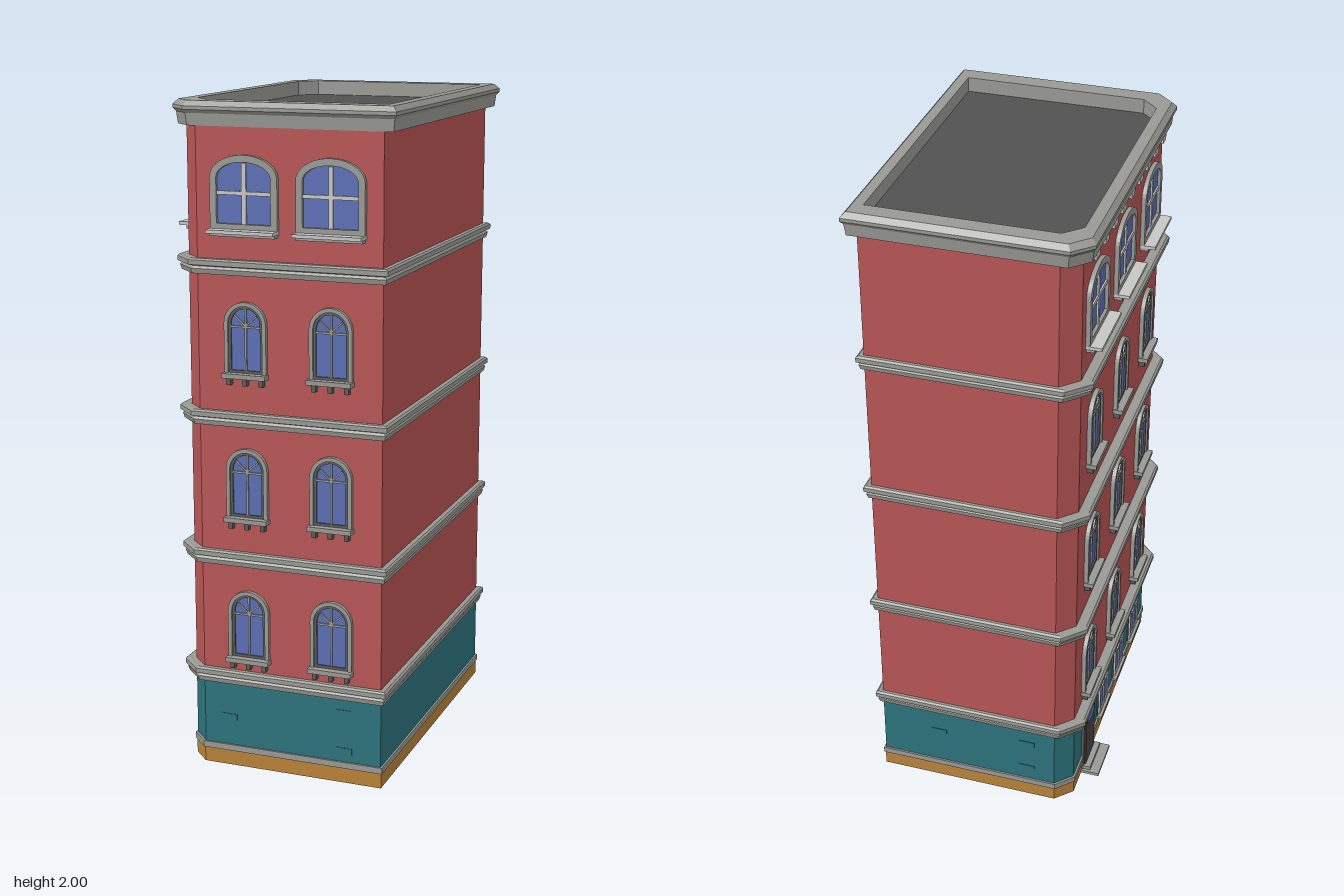
import * as THREE from 'three';

const mat = (name, color, side = THREE.FrontSide) => {
  const m = new THREE.MeshStandardMaterial({ color, side });
  m.name = name;
  return m;
};

export function createModel() {
  const M = {
    brick: mat('red brick', 0xb85555),
    teal: mat('teal wall', 0x2c737d),
    gold: mat('ochre base', 0xb88339),
    stone: mat('grey stone', 0x999a94),
    light: mat('pale stone', 0xc6c7c5),
    dark: mat('dark trim', 0x5c5d5a),
    roof: mat('roof grey', 0x515151),
    glass: mat('blue glass', 0x5a6eb4),
    door: mat('door brown', 0x4a4341),
  };
  const root = new THREE.Group();
  root.name = 'building';

  const add = (parent, geo, material, name, x = 0, y = 0, z = 0) => {
    const m = new THREE.Mesh(geo, material);
    m.name = name;
    m.position.set(x, y, z);
    parent.add(m);
    return m;
  };
  const box = (parent, w, h, d, material, name, x, y, z) =>
    add(parent, new THREE.BoxGeometry(w, h, d), material, name, x, y, z);

  // Plan outline with the two corners on the -x side cut off
  const WALL = [-0.3, 0.315, -0.505, 0.475, 0.05];
  const grow = ([a, b, c, d, k], o) => [a - o, b + o, c - o, d + o, k + o * 0.3];
  const outline = ([x0, x1, z0, z1, c]) =>
    [[x1, z1], [x1, z0], [x0 + c, z0], [x0, z0 + c], [x0, z1 - c], [x0 + c, z1]];

  // Skin between successive outlines [y, plan]; optional caps
  const loft = (rings, top = false, bottom = false) => {
    const R = rings.map(([y, plan]) => outline(plan).map(([x, z]) => [x, y, z]));
    const pos = [];
    const tri = (...p) => p.forEach((v) => pos.push(...v));
    for (let r = 0; r < R.length - 1; r++) {
      for (let i = 0; i < 6; i++) {
        const j = (i + 1) % 6;
        tri(R[r][i], R[r][j], R[r + 1][j]);
        tri(R[r][i], R[r + 1][j], R[r + 1][i]);
      }
    }
    const T = R[R.length - 1], B = R[0];
    for (let i = 1; i < 5; i++) {
      if (top) tri(T[0], T[i], T[i + 1]);
      if (bottom) tri(B[0], B[i + 1], B[i]);
    }
    const g = new THREE.BufferGeometry();
    g.setAttribute('position', new THREE.Float32BufferAttribute(pos, 3));
    g.computeVertexNormals();
    return g;
  };
  // Hollow wall ring
  const ringWall = (y0, y1, outer, inner) =>
    loft([[y0, outer], [y1, outer], [y1, inner], [y0, inner], [y0, outer]]);

  // Main shell, open underneath at the ground floor
  const inside = grow(WALL, -0.015);
  add(root, ringWall(0, 0.047, grow(WALL, 0.002), inside), M.gold, 'base');
  add(root, ringWall(0.047, 0.066, grow(WALL, 0.006), inside), M.stone, 'baseTrim');
  add(root, ringWall(0.066, 0.28, WALL, inside), M.teal, 'groundFloorWall');
  add(root, loft([[0.27, inside], [0.28, inside]], true, true), M.roof, 'groundFloorCeiling');
  add(root, loft([[0.285, WALL], [1.945, WALL]]), M.brick, 'upperWalls');

  // Floor bands
  const BAND = [-0.335, 0.335, -0.52, 0.495, 0.065];
  for (const y of [0.265, 0.64, 1.065, 1.51]) {
    add(root, loft([
      [y, WALL], [y, grow(BAND, -0.01)], [y + 0.015, grow(BAND, -0.006)],
      [y + 0.022, grow(BAND, -0.012)], [y + 0.026, BAND],
      [y + 0.04, BAND], [y + 0.045, grow(BAND, -0.006)], [y + 0.045, WALL],
    ]), M.stone, 'floorBand');
  }

  // Cornice, parapet and roof
  const CORNICE = [-0.338, 0.355, -0.525, 0.49, 0.055];
  const ROOF = [-0.29, 0.31, -0.46, 0.42, 0.05];
  add(root, loft([
    [1.93, WALL], [1.93, grow(CORNICE, -0.012)], [1.965, grow(CORNICE, -0.008)], [1.975, CORNICE],
    [1.985, CORNICE], [2, grow(CORNICE, -0.014)], [2, ROOF], [1.955, ROOF],
  ]), M.stone, 'cornice');
  add(root, loft([[1.95, ROOF], [1.956, ROOF]], true), M.roof, 'roof');

  // Arched opening: half width w, straight height h, arch rise r, grown by o
  const arch = (w, h, r, o, Type = THREE.Shape) => {
    const s = new Type();
    s.moveTo(-w - o, -o);
    s.lineTo(w + o, -o);
    s.lineTo(w + o, h);
    s.absellipse(0, h, w + o, r + o, 0, Math.PI, false, 0);
    s.closePath();
    return s;
  };
  const archFrame = (w, h, r, outer, inner, depth) => {
    const s = arch(w, h, r, outer);
    s.holes.push(arch(w, h, r, inner, THREE.Path));
    return new THREE.ExtrudeGeometry(s, { depth, bevelEnabled: false, curveSegments: 10 });
  };

  // Narrow round-topped window with bracketed sill
  const archedWindow = () => {
    const g = new THREE.Group();
    g.name = 'archedWindow';
    const w = 0.045, h = 0.135, r = 0.045;
    add(g, archFrame(w, h, r, 0.02, 0.008, 0.013), M.stone, 'surround');
    add(g, archFrame(w, h, r, 0.009, 0, 0.008), M.dark, 'innerFrame');
    add(g, new THREE.ShapeGeometry(arch(w, h, r, 0), 10), M.glass, 'glass', 0, 0, 0.003);
    box(g, 0.006, 0.18, 0.004, M.stone, 'mullion', 0, 0.09, 0.005);
    box(g, 0.09, 0.006, 0.004, M.stone, 'transom', 0, h - 0.008, 0.005);
    for (const s of [-1, 1]) {
      const bar = box(g, 0.005, 0.046, 0.004, M.stone, 'fanBar', s * 0.017, h + 0.01, 0.005);
      bar.rotation.z = -s * 0.85;
    }
    box(g, 0.136, 0.014, 0.03, M.stone, 'sill', 0, -0.015, 0.015);
    for (const x of [-0.05, 0, 0.05]) box(g, 0.013, 0.022, 0.018, M.dark, 'sillBracket', x, -0.033, 0.009);
    return g;
  };

  // Wide top floor window with shallow arch and deep sill
  const wideWindow = () => {
    const g = new THREE.Group();
    g.name = 'wideWindow';
    const w = 0.083, h = 0.13, r = 0.045;
    add(g, archFrame(w, h, r, 0.02, 0, 0.013), M.stone, 'surround');
    add(g, new THREE.ShapeGeometry(arch(w, h, r, 0), 12), M.glass, 'glass', 0, 0, 0.003);
    box(g, 0.014, 0.172, 0.005, M.light, 'mullion', 0, 0.086, 0.006);
    box(g, 0.166, 0.011, 0.005, M.light, 'transom', 0, 0.087, 0.006);
    box(g, 0.207, 0.01, 0.047, M.light, 'sill', 0, -0.02, 0.0235);
    box(g, 0.2, 0.01, 0.025, M.stone, 'sillBase', 0, -0.03, 0.0125);
    return g;
  };

  // Ground floor shop window
  const shopWindow = () => {
    const g = new THREE.Group();
    g.name = 'shopWindow';
    box(g, 0.12, 0.16, 0.004, M.dark, 'backing', 0, 0.08, 0.002);
    box(g, 0.092, 0.13, 0.003, M.glass, 'glass', 0, 0.08, 0.005);
    for (const x of [-0.048, 0, 0.048]) box(g, 0.009, 0.14, 0.006, M.light, 'upright', x, 0.08, 0.007);
    for (const y of [0.012, 0.105, 0.148]) box(g, 0.105, 0.008, 0.006, M.light, 'rail', 0, y, 0.007);
    box(g, 0.125, 0.008, 0.018, M.stone, 'sill', 0, 0.0, 0.009);
    // Reveal seen on the inner side of the wall
    box(g, 0.09, 0.15, 0.004, M.dark, 'innerReveal', 0, 0.08, -0.017);
    box(g, 0.074, 0.134, 0.004, M.teal, 'innerPanel', 0, 0.08, -0.019);
    return g;
  };

  // Walls that carry openings: local x runs along the wall, local z points out
  const front = new THREE.Group();
  front.name = 'frontFacade';
  front.position.z = 0.475;
  const side = new THREE.Group();
  side.name = 'sideFacade';
  side.position.x = -0.3;
  side.rotation.y = -Math.PI / 2;
  root.add(front, side);
  const put = (parent, part, x, y) => {
    part.position.set(x, y, 0);
    parent.add(part);
  };
  for (const [facade, xs] of [[front, [-0.1, 0.162]], [side, [-0.315, -0.018, 0.287]]]) {
    for (const x of xs) {
      for (const y of [0.365, 0.802, 1.235]) put(facade, archedWindow(), x, y);
      put(facade, wideWindow(), x, 1.658);
    }
  }
  for (const x of [-0.12, 0.075, 0.275]) put(side, shopWindow(), x, 0.075);

  // Door with step
  box(side, 0.125, 0.235, 0.008, M.dark, 'doorFrame', -0.3, 0.128, 0.004);
  box(side, 0.098, 0.215, 0.006, M.door, 'door', -0.3, 0.12, 0.009);
  box(side, 0.07, 0.04, 0.002, M.glass, 'doorLight', -0.3, 0.2, 0.013);
  box(side, 0.1, 0.215, 0.004, M.door, 'doorInside', -0.3, 0.12, -0.017);
  box(side, 0.14, 0.01, 0.06, M.stone, 'doorStep', -0.3, 0.006, 0.03);
  box(side, 0.12, 0.012, 0.03, M.stone, 'upperStep', -0.3, 0.017, 0.015);

  // Small blocks under the cornice and the top band
  for (let i = 0; i < 9; i++) {
    const x = -0.385 + i * 0.093;
    box(side, 0.035, 0.03, 0.022, M.light, 'corniceBlock', x, 1.918, 0.011);
    box(side, 0.025, 0.02, 0.018, M.stone, 'bandBlock', x, 1.502, 0.009);
  }

  // Slightly raised bricks in the ground floor walls, showing on both faces
  const brickAt = (x, y, z) => box(root, 0.05, 0.02, 0.02, M.teal, 'raisedBrick', x, y, z);
  for (const [x, y] of [[-0.17, 0.155], [0.2, 0.22], [0.2, 0.1]]) brickAt(x, y, 0.467);
  for (const [x, y] of [[0.13, 0.185], [-0.16, 0.21], [-0.16, 0.11]]) brickAt(x, y, -0.497);

  return root;
}
